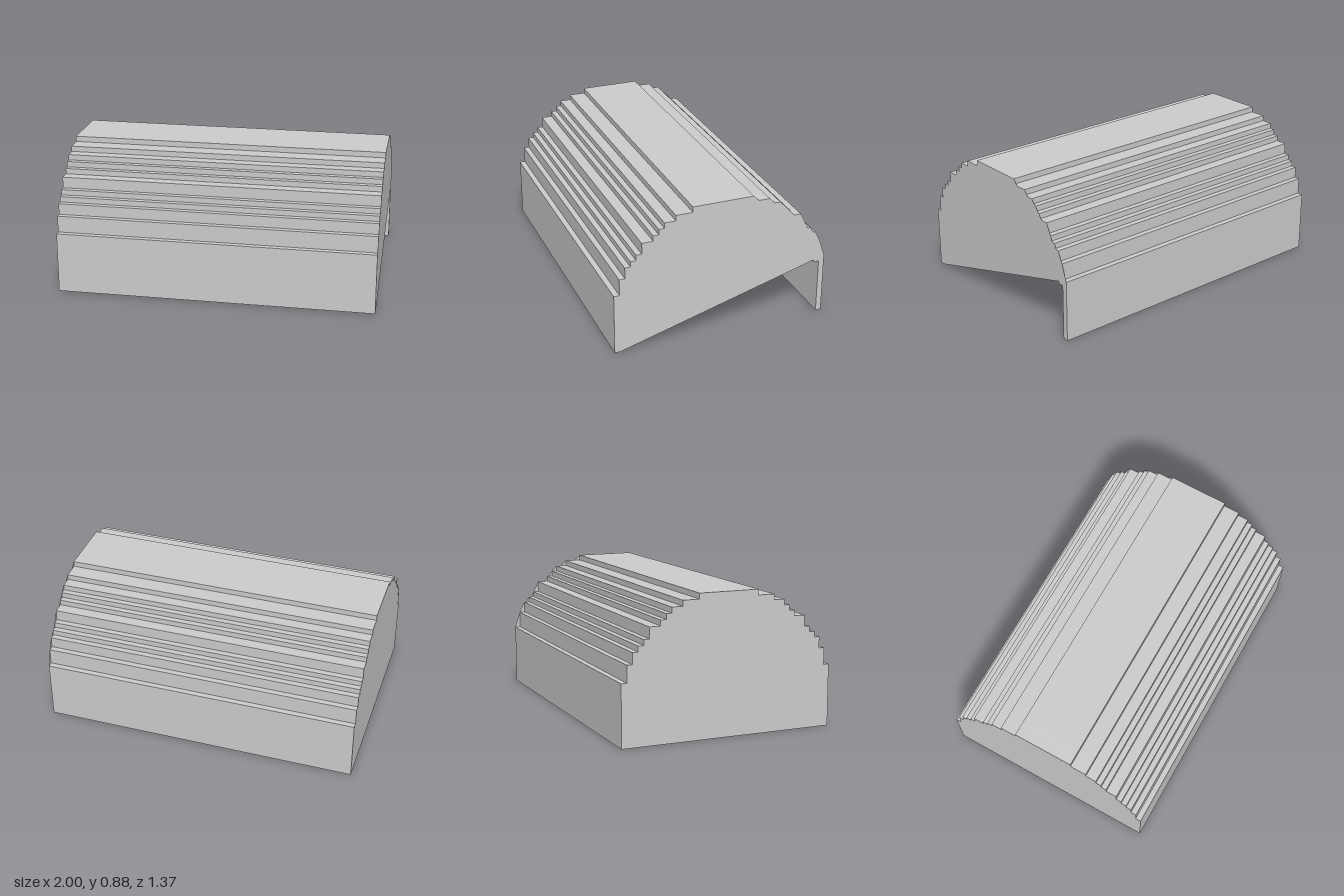
import * as THREE from 'three';

const CELL = 2 / 57; // grid unit all sizes are counted in
const HALF = 28.5;   // half length in cells

// Stepped arch: half width and height of each step, from the ground up
const STEPS = [[19.5, 11], [18.5, 14], [17.5, 16], [16.5, 17], [15.5, 18], [14.5, 20],
  [12.5, 21], [11.5, 22], [10.5, 23], [8.5, 24], [5.5, 25]];

// One side of the arch from ground to crown, inset by a wall thickness
function halfArch(inset) {
  const pts = [[STEPS[0][0] - inset, 0]];
  STEPS.forEach(([w, h], i) => {
    pts.push([w - inset, h - inset]);
    if (i < STEPS.length - 1) pts.push([STEPS[i + 1][0] - inset, h - inset]);
  });
  return pts;
}

const mirror = (pts) => pts.map(([u, v]) => [-u, v]).reverse();
const arch = (inset) => [...halfArch(inset), ...mirror(halfArch(inset))];
const toShape = (pts) => new THREE.Shape(pts.map(([u, v]) => new THREE.Vector2(u * CELL, v * CELL)));

// Turn a profile (u runs toward the back) so that its depth runs along +x
function place(geometry, x, material, name) {
  geometry.rotateY(Math.PI / 2).translate(x * CELL, 0, 0);
  const mesh = new THREE.Mesh(geometry, material);
  mesh.name = name;
  return mesh;
}

const extrude = (pts, cells) =>
  new THREE.ExtrudeGeometry(toShape(pts), { depth: cells * CELL, bevelEnabled: false });

export function createModel() {
  const group = new THREE.Group();
  group.name = 'archedLid';
  const solid = new THREE.MeshStandardMaterial({ color: 0xcccccc, flatShading: true });
  const thin = new THREE.MeshStandardMaterial({ color: 0xcccccc, flatShading: true, side: THREE.DoubleSide });
  const endDepth = 3;

  // Hollow stepped shell, one cell thick
  group.add(place(extrude([...arch(0), ...arch(1).reverse()], 2 * HALF - endDepth),
    -HALF + endDepth, solid, 'shell'));

  // Thick closed end
  group.add(place(extrude(arch(0), endDepth), -HALF, solid, 'closedEnd'));

  // Thin end sheet: bevelled along the back, stepped along the front, cut off diagonally below
  const backEdge = [[19.5, 11], [18.5, 14], [17.5, 16], [17.1, 16], [16.5, 17], [16, 17], [14.5, 20],
    [13.2, 20], [11.5, 22], [10.5, 23], [9.5, 23], [8.5, 24], [6.5, 24], [5.5, 25]];
  const sheet = new THREE.ShapeGeometry(toShape([...backEdge, ...mirror(halfArch(0)), [-18.5, 0]]));
  group.add(place(sheet, HALF + 0.01, thin, 'cutEndSheet'));

  return group;
}
